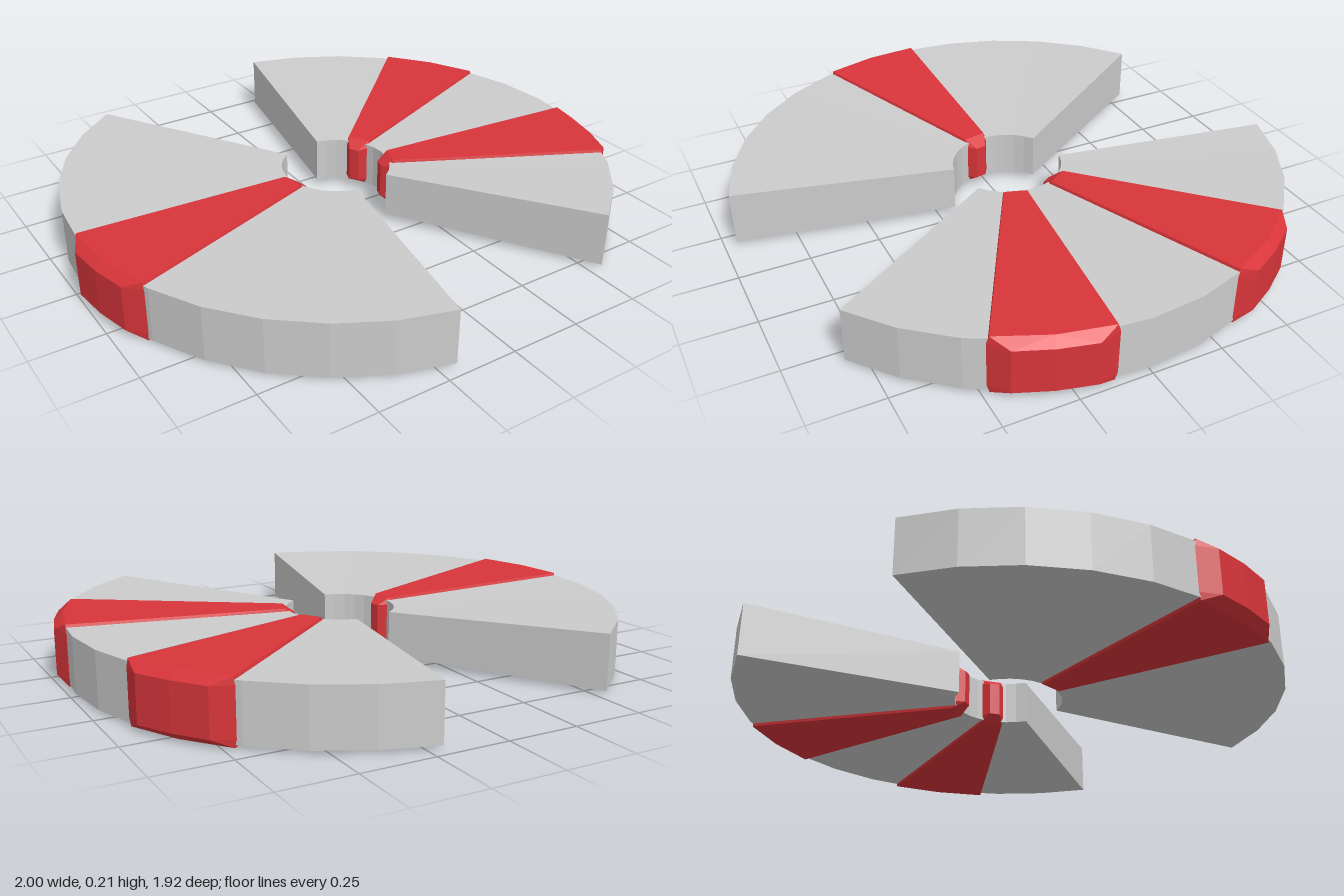
import * as THREE from 'three';
import { ConvexGeometry } from 'three/addons/geometries/ConvexGeometry.js';

const rad = THREE.MathUtils.degToRad;
const MID = 0.108; // mid-height of the ring
const polar = (r, deg, y) => new THREE.Vector3(r * Math.cos(rad(deg)), y, r * Math.sin(rad(deg)));

// Half of a ring: a box bent round the axis, thinner towards the hole
function ringSector(startDeg, sweepDeg, segments) {
  const box = new THREE.BoxGeometry(1, 1, 1, 1, 1, segments);
  const p = box.attributes.position;
  for (let i = 0; i < p.count; i++) {
    const t = p.getX(i) + 0.5;
    const r = THREE.MathUtils.lerp(0.195, 0.978, t);
    const halfHeight = THREE.MathUtils.lerp(0.08, 0.097, t);
    const v = polar(r, startDeg + (p.getZ(i) + 0.5) * sweepDeg, MID + 2 * halfHeight * p.getY(i));
    p.setXYZ(i, v.x, v.y, v.z);
  }
  const geometry = box.toNonIndexed();
  geometry.computeVertexNormals();
  return geometry;
}

// Chamfered wedge, slightly proud of the ring on every exposed side
function wedgeGeometry() {
  const points = [];
  for (const up of [-1, 1]) {
    for (const a of [-1, 0, 1]) {
      points.push(polar(0.975, a * 11.1, MID + up * 0.107)); // top and bottom, outer
      points.push(polar(1.007, a * 7.4, MID + up * 0.08)); // outer face
      if (a === 0) continue;
      points.push(polar(0.21, a * 11.2, MID + up * 0.09)); // top and bottom, inner
      points.push(polar(0.975, a * 11.6, MID + up * 0.08)); // side face, outer
      points.push(polar(0.2, a * 13, MID + up * 0.065)); // side face, inner
      points.push(polar(0.165, a * 6.5, MID + up * 0.062)); // inner face
    }
  }
  return new ConvexGeometry(points);
}

export function createModel() {
  const model = new THREE.Group();
  model.name = 'splitRing';
  const grey = new THREE.MeshStandardMaterial({ color: 0xcccccc, flatShading: true });
  const red = new THREE.MeshStandardMaterial({ color: 0xd8353a, flatShading: true });

  // Two ring halves with a gap between them
  for (const [name, start] of [['leftRingHalf', -78.5], ['rightRingHalf', 101.5]]) {
    const half = new THREE.Mesh(ringSector(start, 134.7, 12), grey);
    half.name = name;
    model.add(half);
  }

  // Coloured wedges set into the halves
  const wedge = wedgeGeometry();
  for (const [name, deg] of [['leftFrontWedge', 18], ['leftBackWedge', -32.3], ['rightWedge', 170]]) {
    const mesh = new THREE.Mesh(wedge, red);
    mesh.name = name;
    mesh.rotation.y = -rad(deg);
    model.add(mesh);
  }
  model.position.x = 0.005;
  return model;
}
